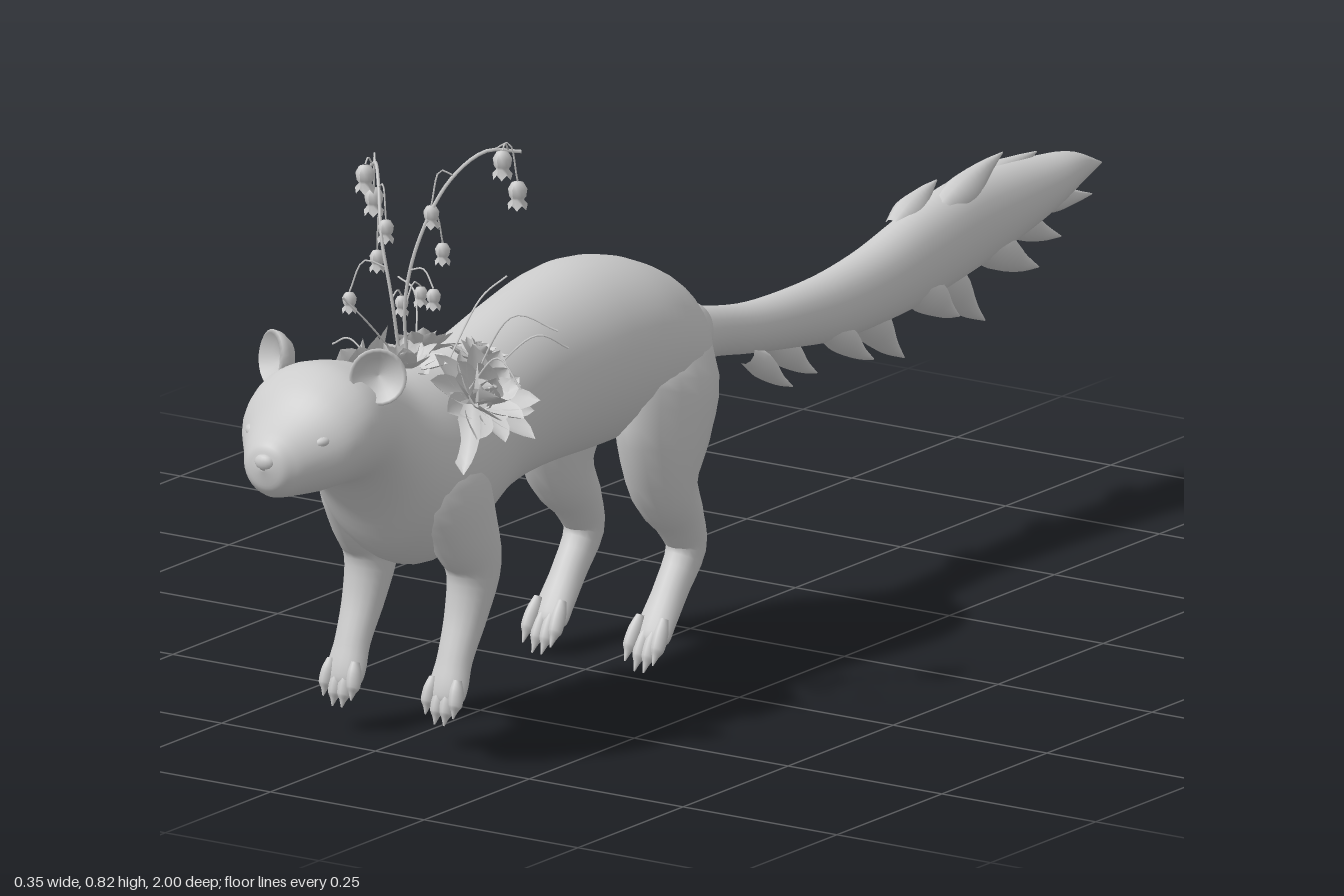
import * as THREE from 'three';
import { mergeGeometries } from 'three/addons/utils/BufferGeometryUtils.js';

const mat = new THREE.MeshStandardMaterial({ color: 0xcccccc });
const thin = new THREE.MeshStandardMaterial({ color: 0xcccccc, side: THREE.DoubleSide });
const V = (x, y, z) => new THREE.Vector3(x, y, z);
const CX = -0.015; // the animal's middle line

function add(parent, name, geo, material = mat) {
  const m = new THREE.Mesh(geo, material);
  m.name = name;
  parent.add(m);
  return m;
}

// Skin of elliptical rings; sections are [x, y, z, halfWidth, halfDepth].
// Upright rings stay in the xy plane, others turn with the path.
function loft(sections, { rings = 40, sides = 20, upright = false } = {}) {
  const path = new THREE.CatmullRomCurve3(sections.map(s => V(s[0], s[1], s[2])));
  const size = new THREE.CatmullRomCurve3(sections.map(s => V(s[3], s[4], 0)), false, 'catmullrom', 0.5);
  const pos = [], idx = [], X = V(1, 0, 0);
  for (let i = 0; i <= rings; i++) {
    const t = i / rings, c = path.getPoint(t), r = size.getPoint(t), d = path.getTangent(t);
    if (upright) d.set(0, 0, Math.sign(d.z));
    const up = d.cross(X).normalize();
    for (let j = 0; j < sides; j++) {
      const a = j / sides * Math.PI * 2;
      const p = c.clone().addScaledVector(X, Math.max(r.x, 0.0005) * Math.cos(a))
        .addScaledVector(up, Math.max(r.y, 0.0005) * Math.sin(a));
      pos.push(p.x, p.y, p.z);
      if (i < rings) {
        const k = i * sides, n = (j + 1) % sides;
        idx.push(k + j, k + n, k + sides + j, k + n, k + sides + n, k + sides + j);
      }
    }
  }
  const g = new THREE.BufferGeometry();
  g.setAttribute('position', new THREE.Float32BufferAttribute(pos, 3));
  g.setIndex(idx);
  g.computeVertexNormals();
  return g;
}

const tube = (points, r, segs = 16) =>
  new THREE.TubeGeometry(new THREE.CatmullRomCurve3(points), segs, r, 5);

// Cupped pointed leaf growing along +y, hollow towards -z
function petal(len, width) {
  const g = new THREE.PlaneGeometry(1, 1, 4, 6), p = g.attributes.position;
  for (let i = 0; i < p.count; i++) {
    const u = p.getX(i) * 2, v = p.getY(i) + 0.5;
    const w = width * Math.pow(Math.max(0, Math.sin(Math.PI * (0.14 + 0.86 * Math.pow(v, 1.2)))), 0.8);
    p.setXYZ(i, u * w, v * len, -u * u * w * 0.45 - v * v * len * 0.15);
  }
  g.computeVertexNormals();
  return g;
}

// Succulent of four rings of leaves, opening along dir
function rosette(parent, name, center, dir, R) {
  const parts = [];
  [[10, 1.5, 1], [9, 1.1, 0.92], [7, 0.7, 0.75], [5, 0.28, 0.55]].forEach(([n, tilt, len], k) => {
    for (let i = 0; i < n; i++) {
      const vary = 1 + 0.1 * Math.sin(i * 2.4 + k);
      parts.push(petal(R * len * vary, R * 0.27).rotateX(tilt).rotateY((i + k * 0.4) / n * Math.PI * 2));
    }
  });
  const m = add(parent, name, mergeGeometries(parts), thin);
  m.position.copy(center);
  m.quaternion.setFromUnitVectors(V(0, 1, 0), dir.clone().normalize());
}

// Hanging bell with a toothed, flared rim
function bell(s) {
  const prof = [[0.001, 0], [0.008, -0.002], [0.0125, -0.01], [0.011, -0.02], [0.008, -0.024], [0.013, -0.03]];
  const g = new THREE.LatheGeometry(prof.map(q => new THREE.Vector2(q[0], q[1])).reverse(), 12);
  const p = g.attributes.position;
  for (let i = 0; i < p.count; i++)
    if (p.getY(i) < -0.029 && Math.floor(i / prof.length) % 2) p.setY(i, -0.037);
  g.computeVertexNormals();
  return g.scale(s, s, s);
}

function buildLeg(parent, name, side, sections, foot) {
  const leg = new THREE.Group();
  leg.name = name;
  parent.add(leg);
  add(leg, 'limb', loft(sections.map(([x, ...rest]) => [x * side, ...rest]), { rings: 32, sides: 16 }));
  // four toes with claws
  const [fy, fz, dy, dz] = foot;
  for (let i = 0; i < 4; i++) {
    const o = i - 1.5, x = 0.083 * side + o * 0.013, short = Math.abs(o) > 1 ? 0.012 : 0;
    const at = (t, r, spread) => [x + o * spread, fy + dy * t + short, fz + dz * t, r, r];
    add(leg, 'toe', loft([at(0, 0.006, 0), at(0.3, 0.01, 0.001), at(0.65, 0.0095, 0.002),
      at(0.8, 0.005, 0.002), at(1, 0.001, 0.002)], { rings: 12, sides: 8 }));
  }
}

export function createModel() {
  const model = new THREE.Group();
  model.name = 'floweredWeasel';
  const animal = new THREE.Group();
  animal.name = 'animal';
  animal.position.x = CX;
  model.add(animal);

  // rump, back, chest, neck and head: [y, z, halfWidth, halfHeight]
  add(animal, 'body', loft([
    [0.41, -0.03, 0.033, 0.036], [0.41, 0.02, 0.062, 0.058], [0.415, 0.08, 0.105, 0.105],
    [0.435, 0.17, 0.123, 0.122], [0.44, 0.27, 0.117, 0.129], [0.43, 0.4, 0.101, 0.12],
    [0.41, 0.5, 0.099, 0.115], [0.385, 0.58, 0.107, 0.125], [0.376, 0.66, 0.113, 0.137],
    [0.395, 0.72, 0.105, 0.125], [0.44, 0.77, 0.092, 0.102], [0.473, 0.82, 0.098, 0.085],
    [0.48, 0.87, 0.102, 0.083], [0.47, 0.91, 0.092, 0.073], [0.455, 0.945, 0.066, 0.056],
    [0.446, 0.975, 0.045, 0.043], [0.446, 0.99, 0.029, 0.029], [0.447, 0.997, 0.004, 0.004],
  ].map(s => [0, ...s]), { rings: 90, sides: 32, upright: true }));

  const ball = (name, x, y, z, sx, sy, sz) => {
    const m = add(animal, name, new THREE.SphereGeometry(1, 16, 12));
    m.position.set(x, y, z);
    m.scale.set(sx, sy, sz);
    return m;
  };
  ball('nose', 0, 0.455, 0.99, 0.016, 0.012, 0.01);
  ball('chin', 0, 0.415, 0.965, 0.024, 0.014, 0.02);

  const earProfile = [[0, -0.016], [0.025, -0.011], [0.036, 0.002], [0.039, 0.013], [0.034, 0.016],
    [0.024, 0.002], [0, -0.004]].map(q => new THREE.Vector2(q[0], q[1]));
  for (const s of [-1, 1]) {
    const label = s > 0 ? 'left' : 'right';
    ball(label + 'Cheek', s * 0.017, 0.438, 0.972, 0.02, 0.017, 0.02);
    ball(label + 'Eyelid', s * 0.052, 0.478, 0.935, 0.016, 0.01, 0.014).rotation.z = s * 0.3;
    const ear = add(animal, label + 'Ear', new THREE.LatheGeometry(earProfile, 24).rotateX(Math.PI / 2));
    ear.position.set(s * 0.08, 0.553, 0.838);
    ear.rotation.set(-0.15, s * 0.55, 0);

    buildLeg(animal, label + 'FrontLeg', s, [
      [0.06, 0.42, 0.67, 0.03, 0.04], [0.072, 0.37, 0.665, 0.045, 0.068], [0.08, 0.3, 0.64, 0.042, 0.058],
      [0.083, 0.24, 0.617, 0.037, 0.042], [0.083, 0.18, 0.632, 0.031, 0.028], [0.083, 0.12, 0.66, 0.026, 0.02],
      [0.083, 0.085, 0.675, 0.029, 0.018], [0.083, 0.066, 0.683, 0.025, 0.014], [0.083, 0.055, 0.688, 0.004, 0.003],
    ], [0.085, 0.682, -0.05, 0.016]);
    buildLeg(animal, label + 'HindLeg', s, [
      [0.055, 0.48, 0.15, 0.02, 0.04], [0.076, 0.41, 0.145, 0.05, 0.098], [0.084, 0.33, 0.165, 0.052, 0.09],
      [0.085, 0.25, 0.165, 0.044, 0.055], [0.083, 0.195, 0.128, 0.035, 0.036], [0.083, 0.152, 0.11, 0.028, 0.028],
      [0.083, 0.1, 0.145, 0.025, 0.022], [0.083, 0.06, 0.178, 0.027, 0.018], [0.083, 0.038, 0.195, 0.026, 0.014],
      [0.083, 0.028, 0.202, 0.004, 0.003],
    ], [0.058, 0.19, -0.057, 0.033]);
  }

  // tail and its tufts of fur
  add(animal, 'tail', loft([
    [0.41, 0.03, 0.045, 0.045], [0.4, -0.05, 0.036, 0.036], [0.382, -0.15, 0.033, 0.035],
    [0.372, -0.25, 0.036, 0.04], [0.367, -0.35, 0.04, 0.048], [0.373, -0.45, 0.043, 0.055],
    [0.388, -0.55, 0.046, 0.064], [0.405, -0.65, 0.049, 0.066], [0.415, -0.75, 0.049, 0.056],
    [0.422, -0.85, 0.042, 0.04], [0.428, -0.93, 0.026, 0.023], [0.42, -1, 0.001, 0.001],
  ].map(s => [0, ...s]), { rings: 50, sides: 20, upright: true }));
  // [x, base y, base z, tip y, tip z, halfWidth]
  [[0.01, 0.35, -0.14, 0.28, -0.25, 0.018], [-0.012, 0.35, -0.22, 0.275, -0.34, 0.022],
    [0.012, 0.35, -0.32, 0.275, -0.44, 0.022], [-0.01, 0.355, -0.42, 0.25, -0.545, 0.028],
    [0.015, 0.365, -0.52, 0.29, -0.64, 0.028], [-0.012, 0.37, -0.6, 0.257, -0.74, 0.03],
    [0.014, 0.385, -0.68, 0.315, -0.83, 0.028], [-0.008, 0.4, -0.76, 0.335, -0.915, 0.025],
    [0.008, 0.41, -0.82, 0.385, -0.965, 0.02], [0.01, 0.44, -0.6, 0.492, -0.75, 0.024],
    [-0.015, 0.43, -0.53, 0.477, -0.63, 0.022], [-0.01, 0.44, -0.7, 0.465, -0.86, 0.024],
  ].forEach(([x, y0, z0, y1, z1, w]) => add(animal, 'tailTuft', loft([
    [x, y0, z0, w * 0.7, w * 0.8], [x, y0 * 0.65 + y1 * 0.35, z0 * 0.65 + z1 * 0.35, w, w],
    [x, y0 * 0.25 + y1 * 0.75, z0 * 0.3 + z1 * 0.7, w * 0.5, w * 0.5], [x, y1, z1, 0.001, 0.001],
  ], { rings: 12, sides: 10 })));

  // garland over the shoulders
  const garland = new THREE.Group();
  garland.name = 'garland';
  model.add(garland);
  rosette(garland, 'rightRosette', V(-0.095, 0.462, 0.625), V(-0.68, 0.72, 0.1), 0.088);
  rosette(garland, 'leftRosette', V(0.068, 0.462, 0.61), V(0.68, 0.72, 0.05), 0.085);
  rosette(garland, 'middleRosette', V(-0.02, 0.502, 0.645), V(0, 1, 0.2), 0.055);
  rosette(garland, 'backRosette', V(-0.055, 0.497, 0.555), V(-0.3, 1, -0.3), 0.052);
  rosette(garland, 'smallRosette', V(0.03, 0.5, 0.555), V(0.3, 1, -0.3), 0.045);
  for (const s of [-1, 1]) {
    const leaf = add(garland, 'hangingLeaf', petal(0.1, 0.022), thin);
    leaf.position.set(CX + s * 0.105, 0.475, 0.65);
    leaf.rotation.set(2.75, 0, s * -0.2);
  }

  // flowering stalks; bells are [x, y, place along the stalk]
  [
    { path: [[-0.025, 0.5, 0.635], [-0.02, 0.6, 0.65], [0, 0.69, 0.645], [0.03, 0.77, 0.615], [0.06, 0.805, 0.575], [0.09, 0.8, 0.535]],
      bells: [[0.083, 0.808, 0.93], [0.088, 0.76, 0.85], [0.01, 0.735, 0.62], [0.017, 0.68, 0.45], [0.04, 0.632, 0.3], [-0.012, 0.617, 0.18]] },
    { path: [[-0.04, 0.5, 0.63], [-0.045, 0.6, 0.645], [-0.065, 0.68, 0.64], [-0.09, 0.74, 0.61], [-0.115, 0.762, 0.58], [-0.14, 0.75, 0.555]],
      bells: [[-0.132, 0.758, 0.95], [-0.14, 0.718, 0.85], [-0.065, 0.703, 0.6], [-0.093, 0.652, 0.45], [-0.1, 0.605, 0.3], [-0.046, 0.598, 0.2]] },
  ].forEach(({ path, bells }) => {
    const pts = path.map(p => V(...p)), curve = new THREE.CatmullRomCurve3(pts);
    add(garland, 'stalk', tube(pts, 0.0026, 32));
    bells.forEach(([x, y, t], i) => {
      const from = curve.getPoint(t), top = V(x, y, from.z + (i % 2 ? -0.025 : 0.02));
      const mid = from.clone().lerp(top, 0.6);
      mid.y = Math.max(from.y, top.y) + 0.008;
      add(garland, 'bellStem', tube([from, mid, top], 0.0013, 8));
      add(garland, 'bell', bell(i < 2 ? 1.05 : 0.95 - i * 0.04)).position.copy(top);
    });
  });

  // grass wisps: start, middle, end
  [[[0.05, 0.48, 0.6], [0.11, 0.585, 0.58], [0.167, 0.568, 0.56]], [[0.06, 0.48, 0.62], [0.11, 0.535, 0.62], [0.155, 0.5, 0.63]],
    [[0.05, 0.48, 0.57], [0.12, 0.55, 0.54], [0.15, 0.53, 0.51]], [[-0.08, 0.48, 0.62], [-0.13, 0.525, 0.62], [-0.165, 0.51, 0.61]],
    [[-0.08, 0.47, 0.64], [-0.14, 0.48, 0.66], [-0.167, 0.465, 0.68]], [[-0.04, 0.5, 0.62], [-0.06, 0.58, 0.69], [-0.08, 0.61, 0.71]],
    [[0.01, 0.5, 0.6], [0.03, 0.59, 0.54], [0.05, 0.615, 0.51]], [[-0.05, 0.5, 0.58], [-0.08, 0.58, 0.54], [-0.12, 0.59, 0.52]],
  ].forEach(w => add(garland, 'grassWisp', tube(w.map(p => V(...p)), 0.0014)));

  return model;
}
